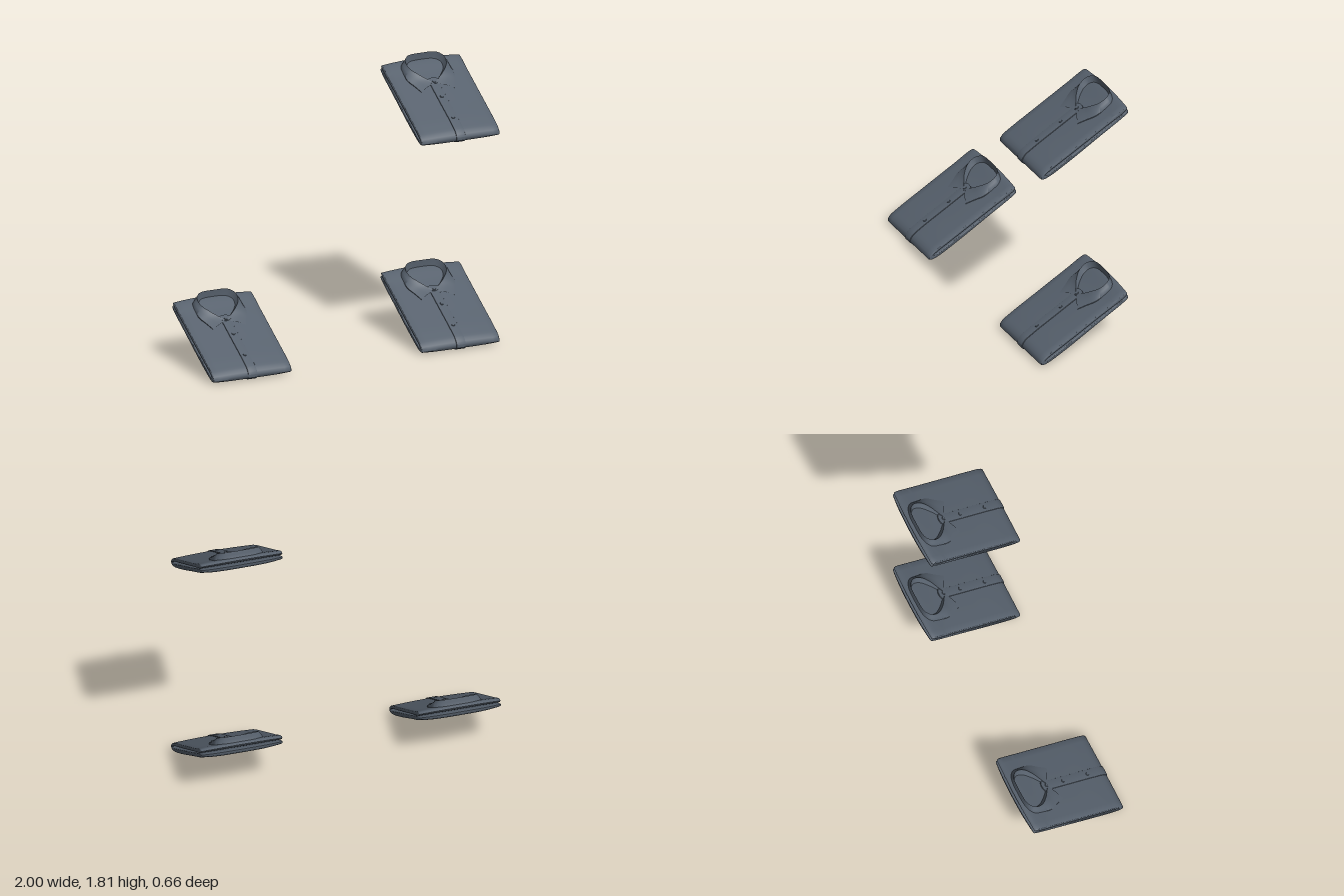
import * as THREE from 'three';
import { toCreasedNormals } from 'three/addons/utils/BufferGeometryUtils.js';

const HALF_WIDTH = 0.2725;
const TILT = 0.473;

const fabric = new THREE.MeshStandardMaterial({ color: 0x56606c, side: THREE.DoubleSide });
fabric.name = 'slate fabric';

function mesh(name, geometry) {
  const m = new THREE.Mesh(geometry, fabric);
  m.name = name;
  return m;
}

// Extrude a side profile (length, height) across the shirt, centred on x = 0
function extrudeAcross(points, width, bevel, steps) {
  const geometry = new THREE.ExtrudeGeometry(new THREE.Shape(points), {
    depth: width - 2 * bevel, steps, bevelEnabled: true, bevelSize: bevel,
    bevelThickness: bevel, bevelOffset: -bevel, bevelSegments: 3,
  });
  geometry.translate(0, 0, -(width - 2 * bevel) / 2);
  geometry.rotateY(-Math.PI / 2);
  return geometry;
}

// Folded cloth: top layer, front fold, bottom layer, then the gap between them
function foldedProfile() {
  const pts = [
    [-0.35, 0.035], [-0.2, 0.037], [0.05, 0.037], [0.25, 0.036], [0.325, 0.028],
    [0.357, 0.002], [0.345, -0.026], [0.305, -0.042], [0.18, -0.05], [-0.1, -0.043],
    [-0.34, -0.031], [-0.358, -0.017], [-0.345, -0.005], [-0.1, -0.007], [0.15, -0.009],
    [0.31, -0.006], [0.324, 0], [0.31, 0.006], [0.1, 0.007], [-0.15, 0.007],
    [-0.345, 0.008], [-0.36, 0.02],
  ].map(([s, n]) => new THREE.Vector3(s, n, 0));
  return new THREE.CatmullRomCurve3(pts, true, 'centripetal').getSpacedPoints(150)
    .slice(0, -1).map((p) => new THREE.Vector2(p.x, p.y));
}

// Body with softly drooping sides and a curved back edge
function bodyGeometry(profile) {
  const geometry = extrudeAcross(profile, HALF_WIDTH * 2, 0.008, 14);
  const pos = geometry.attributes.position;
  for (let i = 0; i < pos.count; i++) {
    const u = Math.abs(pos.getX(i)) / HALF_WIDTH;
    const y = pos.getY(i), z = pos.getZ(i);
    pos.setY(i, y > 0 ? y * (1 - 0.22 * u * u) : y * (1 - 0.35 * u ** 4));
    if (z < 0) pos.setZ(i, z + (z / 0.36) * 0.012 * (1 - u * u));
  }
  return toCreasedNormals(geometry, 0.9);
}

// Button strip hugging the outside of the body around the fold
function placketGeometry(profile) {
  const start = profile.findIndex((p) => p.x > -0.13);
  const end = profile.findIndex((p) => p.y < -0.03 && p.x < 0.2);
  const outer = [], inner = [];
  for (let i = start; i <= end; i++) {
    const d = profile[i + 1].clone().sub(profile[i - 1]).normalize();
    const normal = new THREE.Vector2(-d.y, d.x);
    outer.push(profile[i].clone().addScaledVector(normal, 0.005));
    inner.unshift(profile[i].clone().addScaledVector(normal, -0.004));
  }
  return toCreasedNormals(extrudeAcross([...outer, ...inner], 0.062, 0.001, 1), 0.6);
}

// Mirror a half line (front to centre back) and smooth it
function collarLine(half) {
  const mirrored = half.slice(0, -1).reverse().map((p) => new THREE.Vector3(-p.x, p.y, p.z));
  return new THREE.CatmullRomCurve3([...half, ...mirrored], false, 'centripetal').getPoints(60);
}

// Collar: inner stand, rolled fold and outer leaf lofted as one sheet
function collarGeometry() {
  const toVec = ([x, s, n]) => new THREE.Vector3(x, n, s);
  const fold = [[0.004, -0.12, 0.044], [0.045, -0.155, 0.052], [0.09, -0.195, 0.064],
    [0.13, -0.25, 0.072], [0.135, -0.31, 0.077], [0.1, -0.352, 0.078], [0, -0.362, 0.078]].map(toVec);
  const edge = [[0.115, -0.06, 0.04], [0.14, -0.12, 0.04], [0.165, -0.175, 0.04],
    [0.166, -0.24, 0.038], [0.157, -0.31, 0.036], [0.11, -0.344, 0.036], [0, -0.354, 0.036]].map(toVec);
  const base = [[0.002, -0.125, 0.034], [0.04, -0.16, 0.034], [0.078, -0.198, 0.034],
    [0.113, -0.25, 0.034], [0.116, -0.3, 0.034], [0.085, -0.332, 0.034], [0, -0.341, 0.034]].map(toVec);
  const inside = fold.map((p, i) => p.clone().lerp(base[i], 0.12));
  const shoulder = fold.map((p, i) => p.clone().lerp(edge[i], 0.12));
  const leaf = fold.map((p, i) => p.clone().lerp(edge[i], 0.55).add(new THREE.Vector3(0, 0.004, 0)));
  const under = edge.map((p) => p.clone().add(new THREE.Vector3(0, -0.008, 0)));
  fold.forEach((p) => { p.y += 0.002; });
  const rows = [base, inside, fold, shoulder, leaf, edge, under].map(collarLine);

  const n = rows[0].length, index = [];
  for (let r = 0; r < rows.length - 1; r++) {
    for (let c = 0; c < n - 1; c++) {
      const a = r * n + c, b = a + n;
      index.push(a, b, a + 1, a + 1, b, b + 1);
    }
  }
  const geometry = new THREE.BufferGeometry().setFromPoints(rows.flat());
  geometry.setIndex(index);
  return toCreasedNormals(geometry, 0.9);
}

function createShirt() {
  const shirt = new THREE.Group();
  const profile = foldedProfile();
  shirt.add(mesh('foldedBody', bodyGeometry(profile)));
  shirt.add(mesh('buttonPlacket', placketGeometry(profile)));
  shirt.add(mesh('collar', collarGeometry()));

  // Front of the collar stand closing the neck
  const stand = mesh('collarStandFront', new THREE.CylinderGeometry(1, 1, 0.012, 32));
  stand.scale.set(0.042, 1, 0.026);
  stand.position.set(0, 0.04, -0.14);
  shirt.add(stand);

  // Buttons down the placket
  const buttonGeometry = new THREE.CylinderGeometry(0.01, 0.012, 0.006, 20);
  [[-0.13, 0.048], [0.004, 0.044], [0.199, 0.044]].forEach(([s, n]) => {
    const button = mesh('button', buttonGeometry);
    button.position.set(0, n, s);
    shirt.add(button);
  });
  shirt.rotation.x = TILT;
  return shirt;
}

export function createModel() {
  const model = new THREE.Group();
  const shirt = createShirt();
  shirt.updateMatrixWorld(true);
  const floor = -new THREE.Box3().setFromObject(shirt, true).min.y;

  // Three identical folded shirts, two below and one above
  [['lowerRightShirt', -0.7275, 0], ['lowerLeftShirt', 0.7275, 0], ['upperLeftShirt', 0.7275, 1.387]]
    .forEach(([name, x, y]) => {
      const copy = shirt.clone();
      copy.name = name;
      copy.position.set(x, floor + y, 0);
      model.add(copy);
    });
  return model;
}
